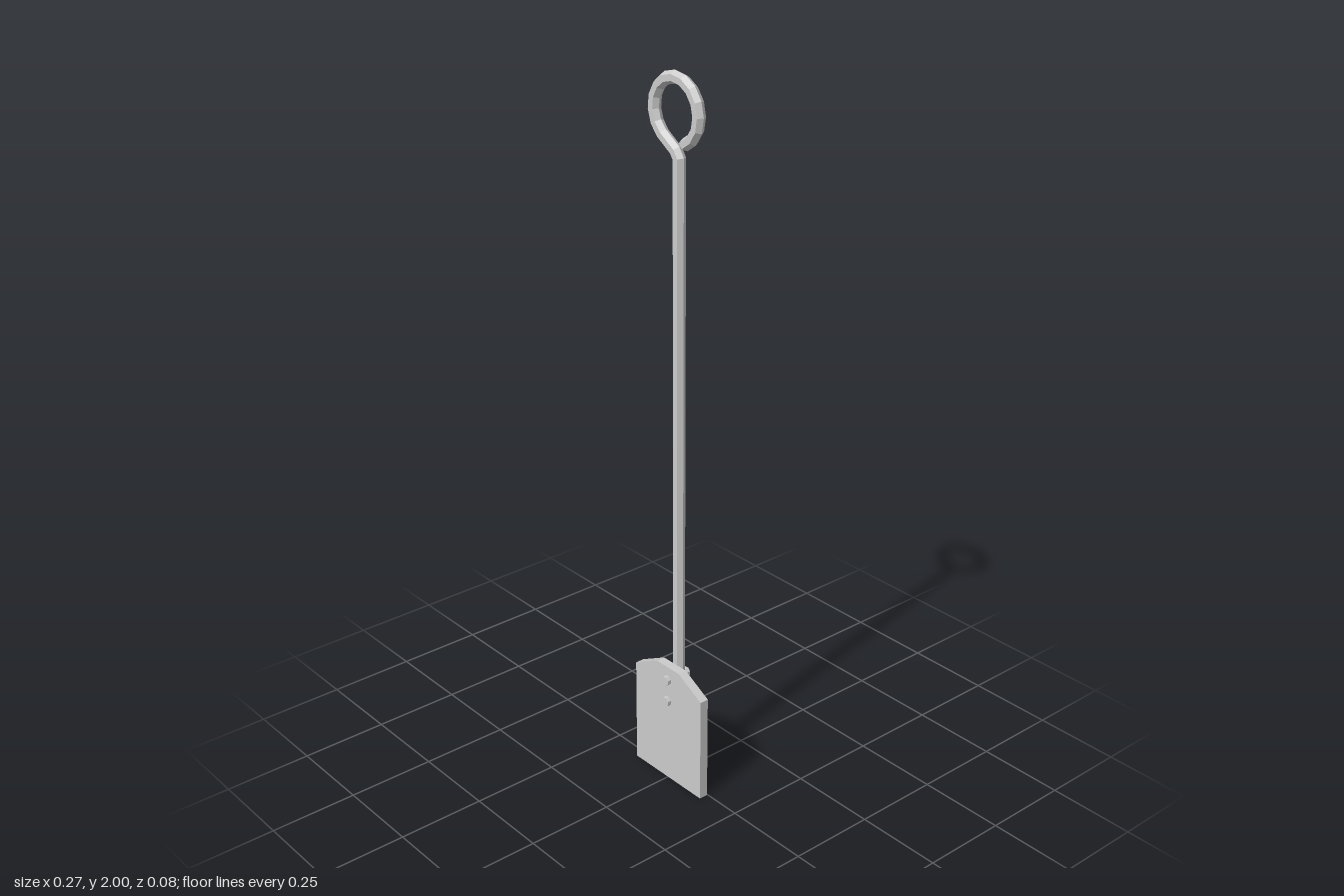
import * as THREE from 'three';

const material = new THREE.MeshStandardMaterial({ color: 0xcccccc, flatShading: true, side: THREE.DoubleSide });
const ROD_R = 0.0166, ROD_Z = -0.0125, SIDES = 6;

// Sweeps a hexagon along a path in the XY plane, with mitred joints and a bevelled lower tip.
function sweepRod(path) {
  const positions = [], index = [];
  path.forEach((p, i) => {
    const before = p.clone().sub(path[Math.max(i - 1, 0)]).normalize();
    const after = path[Math.min(i + 1, path.length - 1)].clone().sub(p).normalize();
    const tangent = before.clone().add(after).normalize();
    const miter = 1 / tangent.dot(i ? before : after);
    for (let s = 0; s < SIDES; s++) {
      const a = (s / SIDES) * Math.PI * 2;
      const side = Math.cos(a) * ROD_R * miter, depth = Math.sin(a) * ROD_R;
      const bevel = i === 0 ? (0.0144 - depth) * 1.7 : 0;
      positions.push(p.x + tangent.y * side, p.y - tangent.x * side + bevel, ROD_Z + depth);
    }
  });
  for (let i = 0; i < path.length - 1; i++) {
    for (let s = 0; s < SIDES; s++) {
      const a = i * SIDES + s, b = i * SIDES + (s + 1) % SIDES;
      index.push(a, a + SIDES, b, b, a + SIDES, b + SIDES);
    }
  }
  // end caps
  const last = (path.length - 1) * SIDES;
  for (let s = 1; s < SIDES - 1; s++) {
    index.push(0, s, s + 1, last, last + s + 1, last + s);
  }
  // wind all faces outward
  for (let k = 0; k < index.length; k += 3) [index[k + 1], index[k + 2]] = [index[k + 2], index[k + 1]];
  const geometry = new THREE.BufferGeometry();
  geometry.setAttribute('position', new THREE.Float32BufferAttribute(positions, 3));
  geometry.setIndex(index);
  const flat = geometry.toNonIndexed();
  flat.computeVertexNormals();
  return flat;
}

export function createModel() {
  const group = new THREE.Group();
  const add = (name, geometry) => {
    const mesh = new THREE.Mesh(geometry, material);
    mesh.name = name;
    group.add(mesh);
    return mesh;
  };

  // Rod: straight shaft, kinked neck and open ring handle
  const path = [new THREE.Vector2(0, 0.2), new THREE.Vector2(0, 1.785), new THREE.Vector2(-0.012, 1.803)];
  const steps = 13, start = 232, end = -68;
  for (let i = 0; i <= steps; i++) {
    const a = THREE.MathUtils.degToRad(start + (end - start) * i / steps);
    path.push(new THREE.Vector2(-0.011 + 0.083 * Math.cos(a), 1.901 + 0.083 * Math.sin(a)));
  }
  add('rodWithRingHandle', sweepRod(path));

  // Flat blade with clipped upper corners
  const outline = [[-0.137, 0], [0.137, 0], [0.137, 0.312], [0.046, 0.36], [-0.046, 0.36], [-0.137, 0.312]];
  const shape = new THREE.Shape(outline.map(([x, y]) => new THREE.Vector2(x, y)));
  add('blade', new THREE.ExtrudeGeometry(shape, { depth: 0.026, bevelEnabled: false })).position.z = 0.002;

  // Two rivets through blade and rod
  for (const [name, y, back] of [['upperRivet', 0.32, -0.042], ['lowerRivet', 0.253, -0.036]]) {
    const front = 0.039;
    const geometry = new THREE.CylinderGeometry(0.0142, 0.0142, front - back, 8);
    geometry.rotateY(Math.PI / 8).rotateX(Math.PI / 2);
    add(name, geometry).position.set(0, y, (front + back) / 2);
  }
  return group;
}
